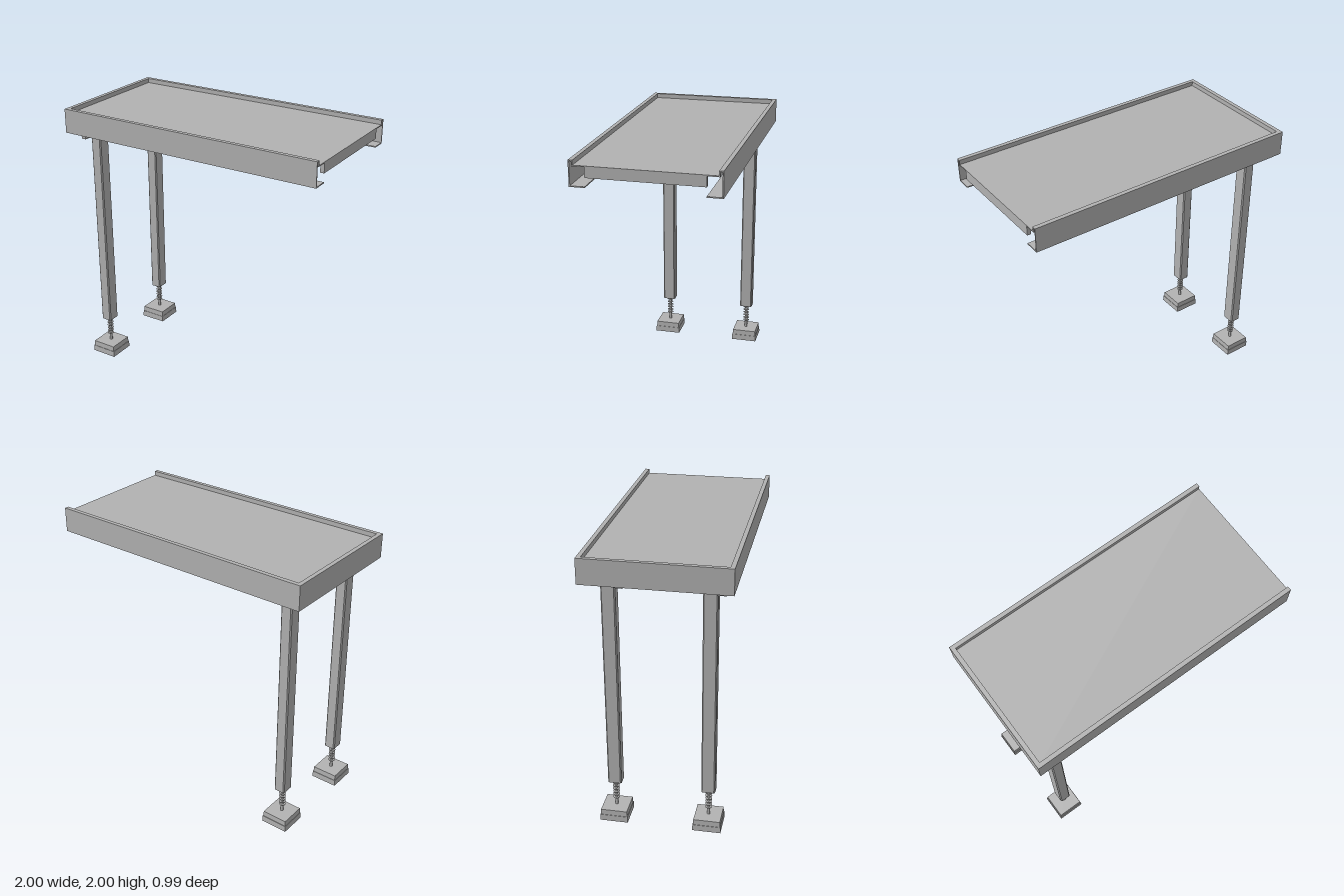
import * as THREE from 'three';

export function createModel() {
  const steel = new THREE.MeshStandardMaterial({ color: 0xb2b2b2 });
  steel.name = 'plain steel grey';
  const root = new THREE.Group();
  root.name = 'twoLeggedTable';

  const add = (parent, name, geometry, x = 0, y = 0, z = 0) => {
    const mesh = new THREE.Mesh(geometry, steel);
    mesh.name = name;
    mesh.position.set(x, y, z);
    parent.add(mesh);
    return mesh;
  };
  // Box given by its limits on each axis
  const slab = (parent, name, x0, x1, y0, y1, z0, z1) =>
    add(parent, name, new THREE.BoxGeometry(x1 - x0, y1 - y0, z1 - z0),
      (x0 + x1) / 2, (y0 + y1) / 2, (z0 + z1) / 2);

  const W = 0.495;   // half depth of the table
  const RIM = 0.03;  // rim width
  const LIP = 0.105; // bottom lip width
  const T = 0.008;   // sheet thickness
  const BASE = 1.825;

  // Folded sheet edge, drawn in section: u runs inward from the outer face
  const edge = new THREE.Shape([
    [0, BASE], [LIP, BASE], [LIP, BASE + T], [T, BASE + T], [T, 2 - T],
    [RIM - T, 2 - T], [RIM - T, 1.96], [RIM, 1.96], [RIM, 2], [0, 2],
  ].map(([u, y]) => new THREE.Vector2(u, y)));
  const edgeGeometry = length => new THREE.ExtrudeGeometry(edge, { depth: length, bevelEnabled: false });

  const top = new THREE.Group();
  top.name = 'tableTop';
  root.add(top);
  slab(top, 'topPanel', -1 + RIM, 1, 1.96, 1.968, -W + RIM, W - RIM);
  // u -> -z, extrusion -> +x
  add(top, 'frontRail', edgeGeometry(2), -1, 0, W).rotation.y = Math.PI / 2;
  // u -> +z, extrusion -> -x
  add(top, 'backRail', edgeGeometry(2), 1, 0, -W).rotation.y = -Math.PI / 2;
  // u -> +x, extrusion -> +z
  add(top, 'closedEndRail', edgeGeometry(2 * W - 0.004), -1, 0, -W + 0.002);

  // Cross beams beneath the panel
  slab(top, 'middleBeam', 0, 0.03, 1.89, 1.96, -0.39, 0.39);
  slab(top, 'openEndBeam', 0.97, 0.998, 1.89, 1.96, -0.39, 0.39);

  // Diagonal corner braces and underside plates, mirrored
  for (const s of [-1, 1]) {
    const a = new THREE.Vector2(-0.53, 0.43 * s);
    const b = new THREE.Vector2(-0.93, 0.06 * s);
    const d = b.clone().sub(a);
    const brace = add(top, 'cornerBrace', new THREE.BoxGeometry(d.length(), 0.015, 0.03),
      (a.x + b.x) / 2, 1.842, (a.y + b.y) / 2);
    brace.rotation.y = -Math.atan2(d.y, d.x);
    slab(top, 'undersidePlate', -0.76, -0.56, 1.953, 1.96, 0.18 * s - 0.1, 0.18 * s + 0.1);
  }

  // Rectangle with clipped corners
  const clipped = (w, d, c, Type) => new Type([
    [-w, -d + c], [-w + c, -d], [w - c, -d], [w, -d + c],
    [w, d - c], [w - c, d], [-w + c, d], [-w, d - c],
  ].map(([x, y]) => new THREE.Vector2(x, y)));

  function leg(z) {
    const g = new THREE.Group();
    g.name = 'leg';
    g.position.set(-0.83, 0, z);
    root.add(g);

    // Hollow post
    const section = clipped(0.041, 0.048, 0.008, THREE.Shape);
    section.holes.push(clipped(0.034, 0.041, 0.006, THREE.Path));
    const post = new THREE.ExtrudeGeometry(section, { depth: 1.52, bevelEnabled: false });
    post.rotateX(-Math.PI / 2);
    add(g, 'post', post, 0, 0.285, 0);
    slab(g, 'postEndPlate', -0.036, 0.036, 0.292, 0.3, -0.043, 0.043);

    // Head plate, socket and side bracket
    slab(g, 'headPlate', -0.057, 0.052, 1.805, BASE, -0.066, 0.066);
    slab(g, 'socket', -0.05, 0.05, BASE, 1.89, -0.06, 0.06);
    slab(g, 'sideBracket', -0.078, -0.042, 1.78, 1.83, 0.049, 0.107);

    // Threaded levelling rod
    add(g, 'rod', new THREE.CylinderGeometry(0.011, 0.011, 0.22, 12), 0, 0.19, 0);
    for (let i = 0; i < 6; i++) {
      const ring = add(g, 'thread', new THREE.CylinderGeometry(0.024, 0.024, 0.003, 12), 0, 0.145 + i * 0.024, 0);
      ring.rotation.z = 0.1;
    }

    // Stepped foot pad
    const pad = (r0, r1, h) => new THREE.CylinderGeometry(r1 * Math.SQRT2, r0 * Math.SQRT2, h, 4, 1)
      .rotateY(Math.PI / 4).toNonIndexed();
    for (const [name, r0, r1, h, y] of [['footBase', 0.1, 0.098, 0.045, 0.0225], ['footTop', 0.095, 0.093, 0.04, 0.065]]) {
      const geometry = pad(r0, r1, h);
      geometry.computeVertexNormals();
      add(g, name, geometry, 0, y, 0);
    }
  }
  leg(0.33);
  leg(-0.33);

  return root;
}
